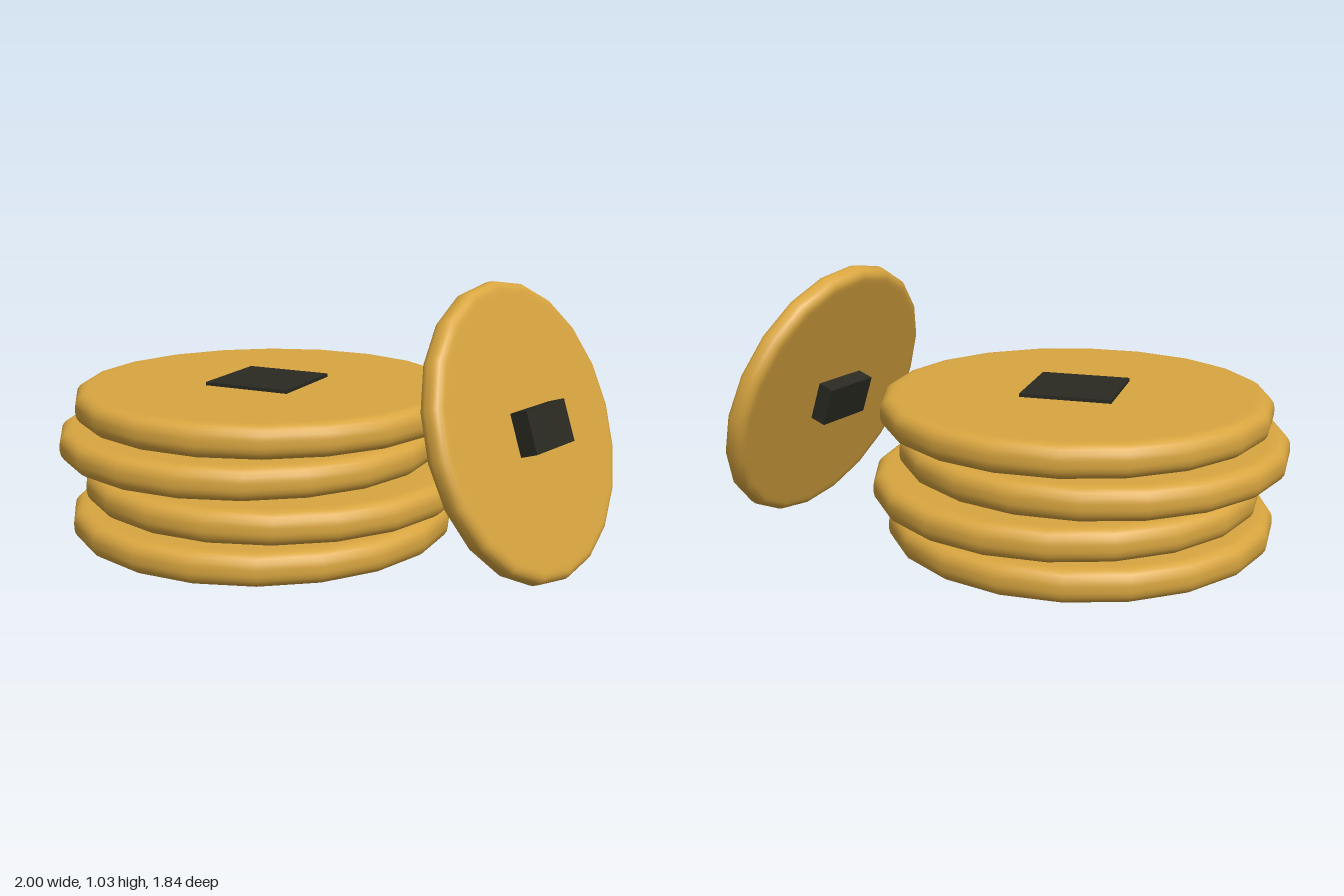
import * as THREE from 'three';

const gold = new THREE.MeshStandardMaterial({ color: 0xd9a640 });
gold.name = 'gold';
const dark = new THREE.MeshStandardMaterial({ color: 0x2a2a22 });
dark.name = 'dark centre';

// Round-rimmed disc, turned from a half profile mirrored top to bottom
function discGeometry(radius, half) {
  const r = half * 0.8;
  const lower = [[0, -half], [radius - r * 1.5, -half]];
  for (let i = 0; i <= 4; i++) {
    const a = (i / 4) * Math.PI / 2;
    lower.push([radius - r + r * Math.sin(a), -half + r - r * Math.cos(a)]);
  }
  const upper = lower.map(([x, y]) => [x, -y]).reverse();
  return new THREE.LatheGeometry([...lower, ...upper].map(([x, y]) => new THREE.Vector2(x, y)), 20);
}

// One coin: gold disc with a dark square block through its middle
function makeCoin(name, radius, half, block, turn) {
  const coin = new THREE.Group();
  coin.name = name;
  const disc = new THREE.Mesh(discGeometry(radius, half), gold);
  disc.name = 'disc';
  const centre = new THREE.Mesh(new THREE.BoxGeometry(...block), dark);
  centre.name = 'squareCentre';
  centre.rotation.y = turn;
  coin.add(disc, centre);
  return coin;
}

export function createModel() {
  const model = new THREE.Group();
  model.name = 'coinPile';

  // Loose stack, from the bottom up
  const stack = [
    [-0.225, 0.098, -0.15],
    [-0.175, 0.246, -0.13],
    [-0.26, 0.394, -0.187],
    [-0.2, 0.541, -0.155],
  ];
  stack.forEach((p, i) => {
    const coin = makeCoin('stackedCoin' + (i + 1), 0.74, 0.06, [0.346, 0.146, 0.346], Math.PI / 4);
    coin.position.set(...p);
    model.add(coin);
  });

  // Smaller coin leaning on the stack
  const leaning = makeCoin('leaningCoin', 0.538, 0.044, [0.25, 0.22, 0.155], 0);
  leaning.position.set(0.52, 0.52, 0.585);
  leaning.rotation.set(1.245, 0.527, 0, 'YXZ');
  model.add(leaning);

  return model;
}
